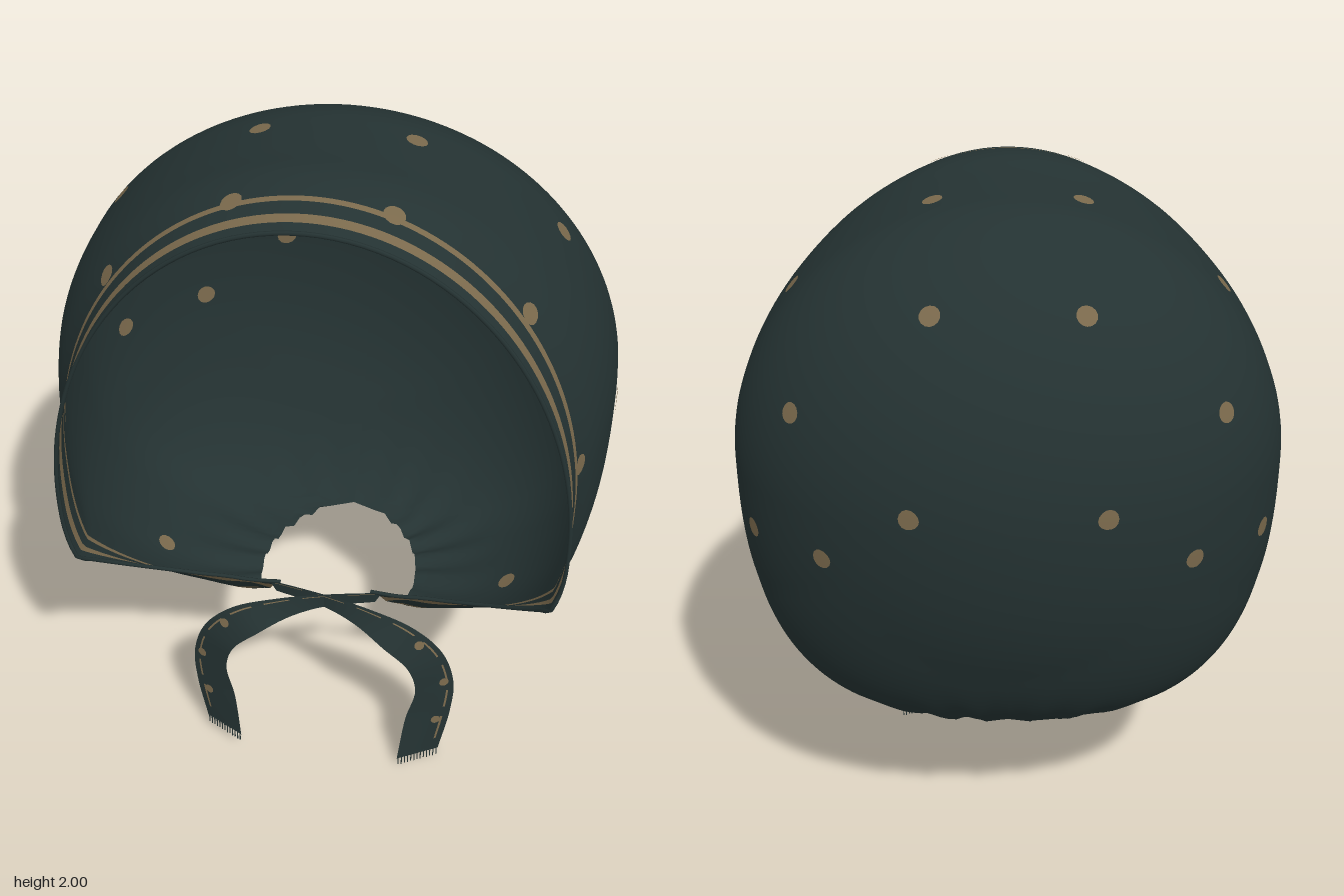
import * as THREE from 'three';

const cloth = new THREE.MeshStandardMaterial({ color: 0x243232, side: THREE.DoubleSide });
cloth.name = 'dark teal cloth';
const gold = new THREE.MeshStandardMaterial({ color: 0x7a694c, side: THREE.DoubleSide });
gold.name = 'dull gold print';

const clamp = THREE.MathUtils.clamp;
const HEM = 0.55, BACK = 0.555;

// Smooth curve through values spaced evenly from z = 0 to the hem
function along(values) {
  const curve = new THREE.SplineCurve(values.map((v, i) => new THREE.Vector2(i, v)));
  return z => curve.getPoint(clamp(z / HEM, 0, 1)).y;
}
const halfWidth = along([0.785, 0.783, 0.77, 0.742, 0.7, 0.695]);
const topLine = along([1.975, 1.98, 1.988, 2.0, 1.985, 1.95]);
const middle = along([1.23, 1.23, 1.22, 1.18, 1.12, 1.05]);
const bottomLine = along([0.42, 0.42, 0.42, 0.42, 0.46, 0.58]);

// Rounding of the back of the cap
const shrink = (z, p) => z >= 0 ? 1 : Math.sqrt(Math.max(0, 1 - Math.pow(-z / BACK, p)));

// Point of the cap: u runs -1..1 over the head, z runs from the hem to the back
function capPoint(u, z) {
  const n = 2 + 0.8 * clamp((z + BACK) / 0.4, 0, 1);
  const a = halfWidth(z) * shrink(z, 1.9);
  const c = middle(z);
  const k = (z - 0.22) / 0.4;
  const hole = 0.24 * Math.sqrt(Math.max(0, 1 - k * k));
  const limit = Math.PI - (hole > 0 ? Math.asin(Math.pow(hole / a, n / 2)) : 0);
  const t = u * limit;
  const s = Math.abs(Math.sin(t)), co = Math.cos(t);
  const e = co < 0 ? 2 / n : 1;
  const x = Math.sign(u) * a * Math.pow(s, e);
  let y = co < 0
    ? c - (c - bottomLine(z)) * shrink(z, 2.3) * Math.pow(-co, e)
    : c + (topLine(z) - c) * shrink(z, 1.75) * co;
  // the hem slants back towards the chin
  const hemY = co < 0 ? 1.05 - 0.47 * Math.pow(-co, 2 / 2.8) : 1.05;
  const pz = z - Math.max(0, 0.83 - hemY) * clamp((z + 0.45) / 1.0, 0, 1);
  // gathers around the neck
  const r = Math.hypot(x, pz);
  const fold = clamp(1 - (r - 0.2) / 0.3, 0, 1) * clamp((0.7 - y) / 0.2, 0, 1);
  y += 0.014 * fold * Math.sin(19 * Math.atan2(Math.abs(x), pz));
  return new THREE.Vector3(x, y, pz);
}

// Grid surface; isGold(row, column) picks the printed faces
function grid(rows, cols, point, isGold) {
  const pos = [], dark = [], print = [];
  for (let j = 0; j <= rows; j++)
    for (let i = 0; i <= cols; i++) pos.push(...point(i, j).toArray());
  for (let j = 0; j < rows; j++)
    for (let i = 0; i < cols; i++) {
      const a = j * (cols + 1) + i, b = a + 1, c = a + cols + 1, d = c + 1;
      (isGold(j, i) ? print : dark).push(a, b, c, b, d, c);
    }
  const g = new THREE.BufferGeometry();
  g.setAttribute('position', new THREE.Float32BufferAttribute(pos, 3));
  g.setIndex([...dark, ...print]);
  g.addGroup(0, dark.length, 0);
  g.addGroup(dark.length, print.length, 1);
  g.computeVertexNormals();
  return new THREE.Mesh(g, [cloth, gold]);
}

// Flat round spots following a surface, on both of its faces
function spots(surface, list) {
  const pos = [], idx = [], sides = 14;
  for (const { u, v, r } of list) {
    const p = surface(u, v), h = 0.004;
    const su = surface(u + h, v).sub(surface(u - h, v)).divideScalar(2 * h);
    const sv = surface(u, v + h).sub(surface(u, v - h)).divideScalar(2 * h);
    const e1 = su.clone().normalize();
    const A = sv.dot(e1);
    const e2 = sv.clone().addScaledVector(e1, -A);
    const B = e2.length();
    e2.normalize();
    const n = e1.clone().cross(e2);
    for (const off of [-0.004, 0.004]) {
      const base = pos.length / 3;
      pos.push(...p.clone().addScaledVector(n, off).toArray());
      for (let i = 0; i < sides; i++) {
        const w = i / sides * Math.PI * 2;
        const dv = r * Math.sin(w) / B;
        const du = (r * Math.cos(w) - A * dv) / su.length();
        pos.push(...surface(u + du, v + dv).addScaledVector(n, off).toArray());
        const q = base + 1 + i, next = base + 1 + (i + 1) % sides;
        if (off > 0) idx.push(base, q, next); else idx.push(base, next, q);
      }
    }
  }
  const g = new THREE.BufferGeometry();
  g.setAttribute('position', new THREE.Float32BufferAttribute(pos, 3));
  g.setIndex(idx);
  g.computeVertexNormals();
  return new THREE.Mesh(g, gold);
}

// Cap parameters nearest to a place in space
function locate(x, y, z) {
  const target = new THREE.Vector3(x, y, z);
  let best = { d: 9 };
  for (let i = 0; i <= 120; i++)
    for (let j = 0; j <= 100; j++) {
      const u = i / 124, v = 0.53 - j * 0.0105;
      const d = capPoint(u, v).distanceTo(target);
      if (d < best.d) best = { d, u, v };
    }
  return best;
}

// One ribbon, drawn for the +x side, with its end fringe
function makeTie(side, drop) {
  const tie = new THREE.Group();
  tie.name = side > 0 ? 'leftTie' : 'rightTie';
  const edge = pts => new THREE.CatmullRomCurve3(pts.map(([x, y, z]) =>
    new THREE.Vector3(x * side, y - drop * clamp((0.4 - y) / 0.35, 0, 1), z)));
  const outer = edge([[-0.17, 0.585, 0.3], [0, 0.575, 0.325], [0.14, 0.56, 0.35], [0.27, 0.52, 0.365],
    [0.36, 0.43, 0.36], [0.4, 0.31, 0.355], [0.395, 0.2, 0.365], [0.365, 0.05, 0.38]]);
  const inner = edge([[-0.15, 0.545, 0.3], [0, 0.53, 0.33], [0.1, 0.505, 0.365], [0.19, 0.46, 0.405],
    [0.265, 0.39, 0.41], [0.29, 0.3, 0.405], [0.265, 0.2, 0.42], [0.245, 0.05, 0.445]]);
  const across = [0, 0.14, 0.19, 0.5, 1];
  const surface = (f, t) => outer.getPoint(t).lerp(inner.getPoint(t), f);
  const ribbon = grid(48, 4, (i, j) => surface(across[i], j / 48), (j, i) => i === 1 && j % 6 < 4);
  ribbon.name = 'ribbon';
  const dots = spots(surface, [[0.3, 0.5], [0.25, 0.7], [0.3, 0.88]]
    .map(([u, v]) => ({ u, v, r: 0.015 })));
  dots.name = 'ribbonSpots';
  tie.add(ribbon, dots);
  const threadShape = new THREE.BoxGeometry(0.003, 0.034, 0.003);
  for (let i = 0; i < 13; i++) {
    const thread = new THREE.Mesh(threadShape, cloth);
    thread.name = 'fringeThread';
    thread.position.copy(surface((i + 0.5) / 13, 1));
    thread.position.y -= 0.009 + 0.003 * (i % 2);
    tie.add(thread);
  }
  return tie;
}

export function createModel() {
  const model = new THREE.Group();
  model.name = 'bonnet';

  // Cap with two printed stripes beside the hem
  const rows = [HEM, 0.515, 0.49, 0.452];
  for (let k = 0; k <= 56; k++) rows.push(0.435 - 0.99 * Math.sin(k / 56 * Math.PI / 2));
  const cap = grid(rows.length - 1, 160, (i, j) => capPoint(i / 80 - 1, rows[j]), j => j === 1 || j === 3);
  cap.name = 'cap';
  model.add(cap);

  // Rolled edge of the face opening
  const hemPoints = [];
  for (let i = 0; i <= 60; i++) hemPoints.push(capPoint(i / 30 - 1, HEM));
  const piping = new THREE.Mesh(
    new THREE.TubeGeometry(new THREE.CatmullRomCurve3(hemPoints), 120, 0.006, 6), cloth);
  piping.name = 'hemPiping';
  model.add(piping);

  // Printed spots, mirrored
  const places = [
    [0.2, 1.96, 0.06], [0.6, 1.73, 0.05], [0.21, 1.78, -0.33], [0.58, 1.49, -0.31],
    [0.21, 1.27, -0.52], [0.5, 1.11, -0.4], [0.78, 1.23, 0.1], [0.71, 1.08, -0.21],
    [0.2, 1.95, 0.43], [0.55, 1.71, 0.43], [0.71, 1.24, 0.43], [0.52, 0.55, 0.14],
  ];
  const list = [];
  for (const place of places) {
    const { u, v } = locate(...place);
    list.push({ u, v, r: 0.029 }, { u: -u, v, r: 0.029 });
  }
  const capSpots = spots(capPoint, list);
  capSpots.name = 'capSpots';
  model.add(capSpots);

  // Ties crossing under the chin
  model.add(makeTie(1, 0.021), makeTie(-1, 0));
  return model;
}
